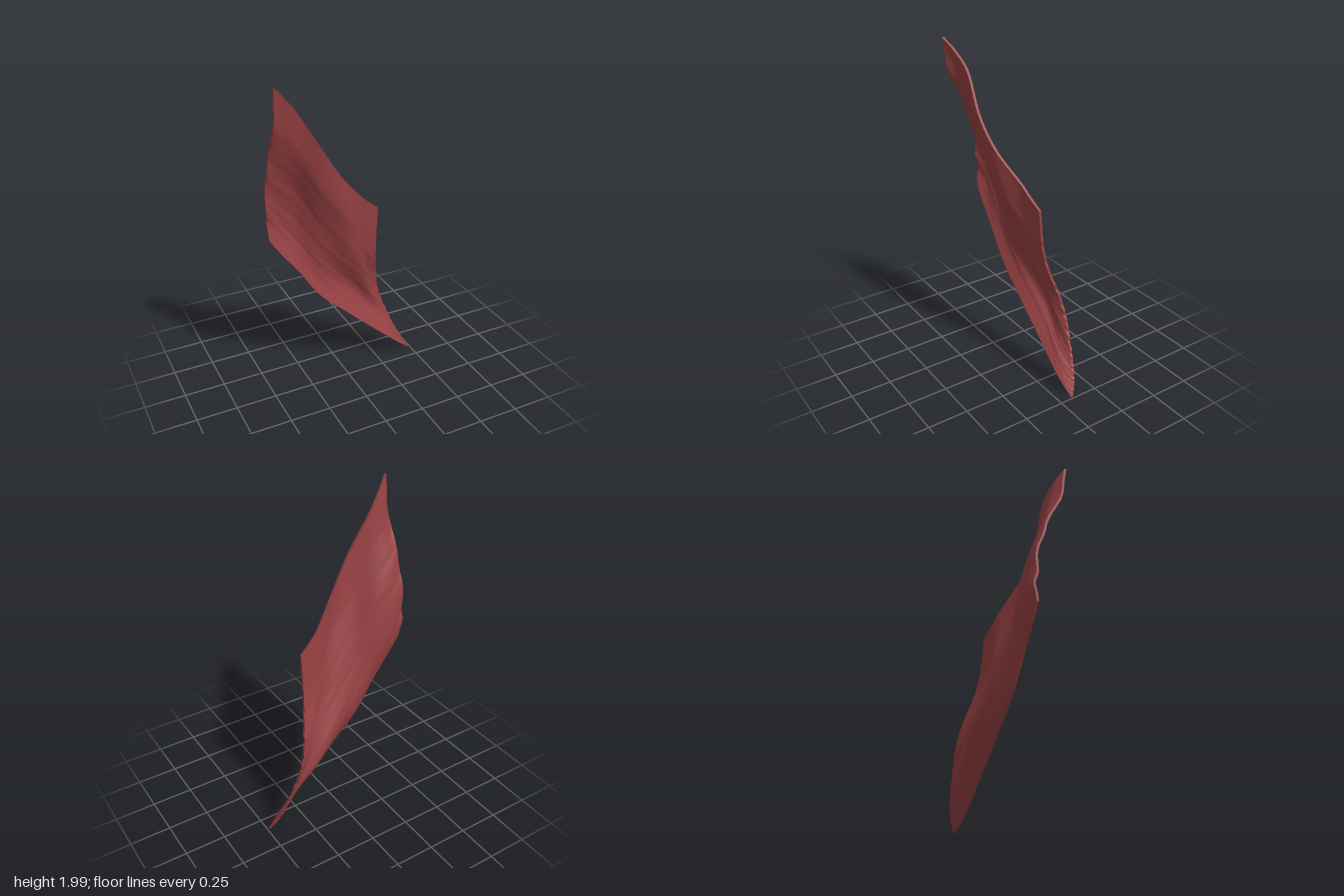
import * as THREE from 'three';
import { ParametricGeometry } from 'three/addons/geometries/ParametricGeometry.js';

// Cross-sections of the cloth from its left edge to its right edge,
// each running from the lower hem to the upper hem.
const sections = [
  [[-0.475, 1.06, -0.042], [-0.48, 1.16, -0.055], [-0.485, 1.3, -0.045], [-0.483, 1.52, -0.002], [-0.48, 1.76, 0.112], [-0.483, 1.995, 0.16]],
  [[-0.4, 0.95, -0.042], [-0.405, 1.06, -0.073], [-0.41, 1.2, -0.076], [-0.415, 1.43, -0.03], [-0.41, 1.68, 0.06], [-0.42, 1.928, 0.122]],
  [[-0.3, 0.815, -0.042], [-0.305, 0.93, -0.068], [-0.31, 1.07, -0.08], [-0.31, 1.32, -0.035], [-0.32, 1.57, 0.052], [-0.33, 1.815, 0.09]],
  [[-0.17, 0.62, -0.048], [-0.17, 0.73, -0.08], [-0.17, 0.86, -0.072], [-0.18, 1.1, -0.02], [-0.19, 1.35, 0.062], [-0.2, 1.6, 0.1]],
  [[0, 0.455, -0.053], [-0.005, 0.55, -0.093], [-0.01, 0.67, -0.114], [-0.03, 0.9, -0.04], [-0.05, 1.18, 0.044], [-0.08, 1.42, 0.068]],
  [[0.2, 0.265, -0.062], [0.175, 0.37, -0.113], [0.14, 0.5, -0.15], [0.1, 0.75, -0.07], [0.08, 1, -0.027], [0.06, 1.26, 0]],
  [[0.37, 0.11, -0.066], [0.335, 0.2, -0.1], [0.28, 0.34, -0.143], [0.2, 0.6, -0.12], [0.15, 0.88, -0.05], [0.13, 1.19, -0.02]],
  [[0.487, 0.003, -0.088], [0.44, 0.1, -0.13], [0.375, 0.24, -0.155], [0.28, 0.5, -0.16], [0.215, 0.82, -0.07], [0.205, 1.13, -0.035]],
].map((s) => s.map((p) => new THREE.Vector3(...p)));

// Catmull-Rom interpolation through a list of points
function along(points, t) {
  const n = points.length - 1;
  const i = Math.min(Math.floor(t * n), n - 1);
  const f = t * n - i;
  const p1 = points[i], p2 = points[i + 1];
  const p0 = points[i - 1] || p1.clone().multiplyScalar(2).sub(p2);
  const p3 = points[i + 2] || p2.clone().multiplyScalar(2).sub(p1);
  const mix = (a, b, c, d) => b + 0.5 * f * (c - a + f * (2 * a - 5 * b + 4 * c - d + f * (3 * (b - c) + d - a)));
  return new THREE.Vector3(
    mix(p0.x, p1.x, p2.x, p3.x), mix(p0.y, p1.y, p2.y, p3.y), mix(p0.z, p1.z, p2.z, p3.z));
}

// Point on the sheet: smooth drape, fine wrinkles and frayed side edges
function sheet(u, v, offset, target) {
  u = THREE.MathUtils.clamp(u, 0, 1);
  v = THREE.MathUtils.clamp(v, 0, 1);
  const p = along(sections.map((s) => along(s, v)), u);
  const inside = Math.sin(Math.PI * v);
  p.z += inside * (0.0011 * Math.sin(46 * v + 5 * u) + 0.0006 * Math.sin(95 * v - 9 * u));
  p.z += 0.01 * Math.exp(-14 * u) * Math.sin(24 * v) * inside;
  const fray = inside * (Math.sin(110 * v) + Math.sin(173 * v + 1));
  p.x += 0.003 * fray * Math.pow(u, 30);
  p.z += offset;
  target.copy(p);
}

export function createModel() {
  const group = new THREE.Group();
  group.name = 'cloth';
  const material = new THREE.MeshStandardMaterial({ color: 0x964042, side: THREE.DoubleSide });
  const half = 0.008;
  const add = (name, fn, a, b) => {
    const mesh = new THREE.Mesh(new ParametricGeometry(fn, a, b), material);
    mesh.name = name;
    group.add(mesh);
  };

  // Two faces of the cloth
  add('frontFace', (u, v, t) => sheet(u, v, half, t), 60, 90);
  add('backFace', (u, v, t) => sheet(1 - u, v, -half, t), 60, 90);

  // Narrow rims closing the thickness
  const rim = (w) => (2 * w - 1) * half;
  add('lowerHem', (u, w, t) => sheet(u, 0, rim(w), t), 60, 1);
  add('upperHem', (u, w, t) => sheet(1 - u, 1, rim(w), t), 60, 1);
  add('leftEdge', (v, w, t) => sheet(0, 1 - v, rim(w), t), 90, 1);
  add('rightEdge', (v, w, t) => sheet(1, v, rim(w), t), 90, 1);
  return group;
}
